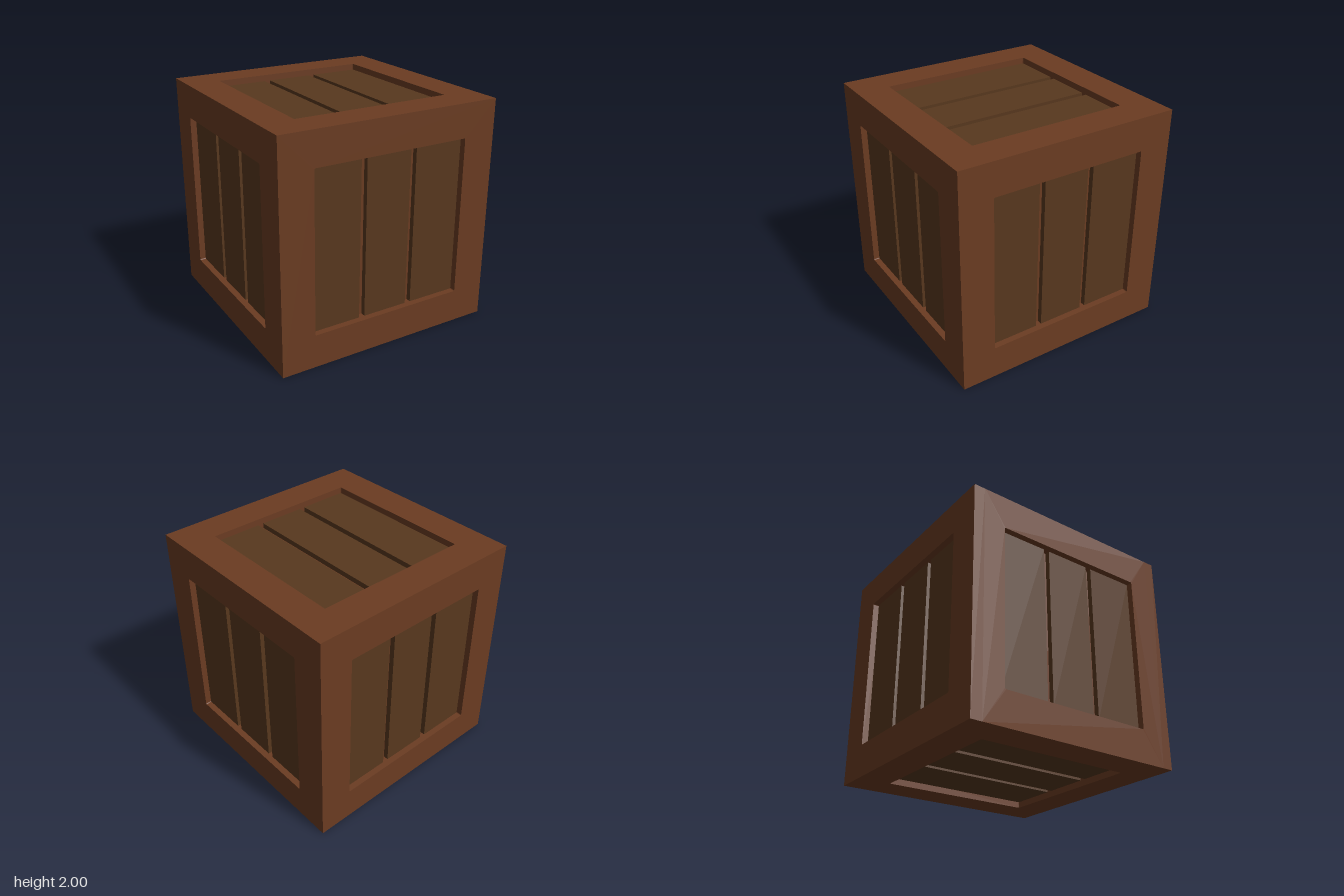
import * as THREE from 'three';

const OPEN = 0.704;   // half width of each square opening
const FLOOR = 0.9;    // distance of the groove floor from the centre
const BOARD = 0.945;  // distance of the board faces from the centre
const GAP_IN = 0.206, GAP_OUT = 0.259; // groove between boards

const frameMaterial = new THREE.MeshStandardMaterial({ color: 0x6b3c22 });
const boardMaterial = new THREE.MeshStandardMaterial({ color: 0x58381e });

// Frame plate with a square opening whose corners are slightly rounded
function framePlate(halfW, halfH) {
  const shape = new THREE.Shape();
  shape.moveTo(-halfW, -halfH).lineTo(halfW, -halfH).lineTo(halfW, halfH).lineTo(-halfW, halfH).closePath();
  const r = 0.01, o = OPEN, hole = new THREE.Path();
  hole.moveTo(-o + r, -o);
  hole.absarc(-o + r, -o + r, r, -Math.PI / 2, -Math.PI, true);
  hole.absarc(-o + r, o - r, r, Math.PI, Math.PI / 2, true);
  hole.absarc(o - r, o - r, r, Math.PI / 2, 0, true);
  hole.absarc(o - r, -o + r, r, 0, -Math.PI / 2, true);
  hole.closePath();
  shape.holes.push(hole);
  const geometry = new THREE.ExtrudeGeometry(shape, { depth: 1 - FLOOR, bevelEnabled: false, curveSegments: 3 });
  geometry.translate(0, 0, FLOOR);
  return geometry;
}

// One side of the crate, modelled facing +z
function crateSide(name, halfW, halfH) {
  const side = new THREE.Group();
  side.name = name;
  const frame = new THREE.Mesh(framePlate(halfW, halfH), frameMaterial);
  frame.name = 'frame';
  side.add(frame);

  // Three upright boards separated by grooves
  for (const [x0, x1] of [[-OPEN, -GAP_OUT], [-GAP_IN, GAP_IN], [GAP_OUT, OPEN]]) {
    const board = new THREE.Mesh(new THREE.BoxGeometry(x1 - x0, 2 * OPEN, BOARD - FLOOR), boardMaterial);
    board.name = 'board';
    board.position.set((x0 + x1) / 2, 0, (BOARD + FLOOR) / 2);
    side.add(board);
  }
  return side;
}

export function createModel() {
  const crate = new THREE.Group();
  crate.name = 'crate';

  // Inner box that closes the grooves
  const core = new THREE.Mesh(new THREE.BoxGeometry(2 * FLOOR, 2 * FLOOR, 2 * FLOOR), frameMaterial);
  core.name = 'core';
  core.position.y = 1;
  crate.add(core);

  // Plate sizes step down so neighbouring plates butt together
  const H = Math.PI / 2;
  const sides = [
    ['frontSide', 1, 1, 0, 0],
    ['backSide', 1, 1, 0, Math.PI],
    ['leftSide', FLOOR, 1, 0, H],
    ['rightSide', FLOOR, 1, 0, -H],
    ['topSide', FLOOR, FLOOR, -H, 0],
    ['bottomSide', FLOOR, FLOOR, H, 0],
  ];
  for (const [name, halfW, halfH, rx, ry] of sides) {
    const side = crateSide(name, halfW, halfH);
    side.rotation.set(rx, ry, 0);
    side.position.y = 1;
    crate.add(side);
  }
  return crate;
}
